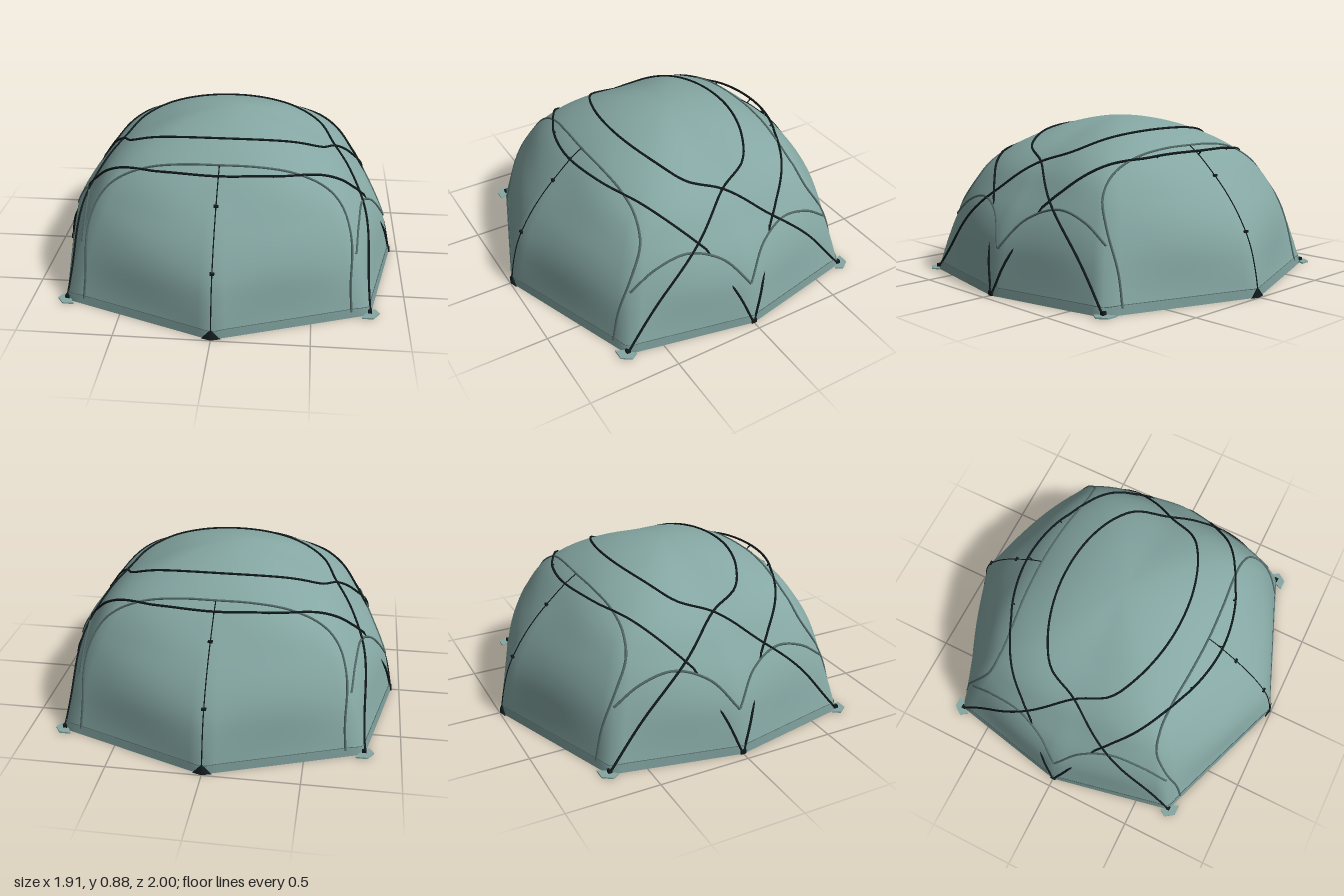
import * as THREE from 'three';

const mat = (name, color, side = THREE.FrontSide) => {
  const m = new THREE.MeshStandardMaterial({ color, side });
  m.name = name;
  return m;
};

// Dome radii at equal steps of elevation, from the ground to the apex
const H = 0.885;
const SIDE = [0.95, 0.925, 0.89, 0.825, 0.735, 0.645, 0.53, 0.39, 0.255, 0.12, 0];
const FRONT = [0.99, 0.965, 0.925, 0.855, 0.765, 0.66, 0.555, 0.43, 0.29, 0.145, 0];
const CORNER = [1.064, 1.02, 0.97, 0.91, 0.84, 0.745, 0.615, 0.46, 0.3, 0.14, 0];
const CORNER_ANGLE = Math.atan2(0.69, 0.81);

// Smooth interpolation of a table, u in 0..1
function sample(table, u) {
  const f = u * (table.length - 1);
  const i = Math.min(Math.floor(f), table.length - 2);
  const t = f - i;
  const b = table[i], c = table[i + 1];
  const a = table[i - 1] ?? 2 * b - c, d = table[i + 2] ?? -b;
  return b + 0.5 * t * (c - a + t * (2 * a - 5 * b + 4 * c - d + t * (3 * (b - c) + d - a)));
}

// Radius of the fabric: straight octagon at the ground, rounder above
function radius(angle, y) {
  const a = Math.atan2(Math.abs(Math.sin(angle)), Math.abs(Math.cos(angle)));
  const u = Math.asin(THREE.MathUtils.clamp(y / H, 0, 1)) / (Math.PI / 2);
  if (u > 0.999) return 0;
  const low = a < CORNER_ANGLE;
  const a0 = low ? 0 : CORNER_ANGLE, a1 = low ? CORNER_ANGLE : Math.PI / 2;
  const r0 = sample(low ? SIDE : CORNER, u), r1 = sample(low ? CORNER : FRONT, u);
  const straight = r0 * r1 * Math.sin(a1 - a0) / (r1 * Math.sin(a1 - a) + r0 * Math.sin(a - a0));
  const round = r0 + (r1 - r0) * THREE.MathUtils.smoothstep(a, a0, a1);
  const w = 0.55 * THREE.MathUtils.smoothstep(y, 0.05, 0.45) + 0.45 * THREE.MathUtils.smoothstep(y, 0.5, 0.75);
  return straight + (round - straight) * w;
}

const onDome = (angle, y, off = 0) => {
  const r = radius(angle, y) + off;
  return new THREE.Vector3(r * Math.cos(angle), y, r * Math.sin(angle));
};

// Moves a point along its ray from the ground centre onto the fabric
function lay(p, lift, keepOutside) {
  const angle = Math.atan2(p.z, p.x), flat = Math.hypot(p.x, p.z);
  let lo = 0.5, hi = 1.6;
  for (let i = 0; i < 30; i++) {
    const s = (lo + hi) / 2;
    if (p.y * s < H && flat * s < radius(angle, p.y * s)) lo = s;
    else hi = s;
  }
  const scale = lo + lift / p.length();
  return p.clone().multiplyScalar(keepOutside ? Math.max(1, scale) : scale);
}

// Angles round the tent, with samples exactly on its eight corners
const ANGLES = [];
const CORNERS = [0, CORNER_ANGLE, Math.PI / 2, Math.PI - CORNER_ANGLE, Math.PI,
  Math.PI + CORNER_ANGLE, 1.5 * Math.PI, 2 * Math.PI - CORNER_ANGLE, 2 * Math.PI];
for (let k = 0; k < 8; k++)
  for (let j = 0; j < 12; j++) ANGLES.push(THREE.MathUtils.lerp(CORNERS[k], CORNERS[k + 1], j / 12));

// Skin through level loops of the dome
function skin(levels, off) {
  const pos = [], idx = [], n = ANGLES.length;
  for (const y of levels) for (const a of ANGLES) pos.push(...onDome(a, y, off).toArray());
  for (let i = 0; i < levels.length - 1; i++)
    for (let j = 0; j < n; j++) {
      const a = i * n + j, b = i * n + (j + 1) % n;
      idx.push(a, a + n, b + n, a, b + n, b);
    }
  const g = new THREE.BufferGeometry();
  g.setAttribute('position', new THREE.Float32BufferAttribute(pos, 3));
  g.setIndex(idx);
  g.computeVertexNormals();
  return g;
}

const curveOf = pts => new THREE.CatmullRomCurve3(pts, false, 'centripetal');

// Tube through points; with lift set, it is laid on the fabric
function cord(points, r, lift = null, keepOutside = false) {
  let curve = curveOf(points.map(p => new THREE.Vector3(...p)));
  if (lift !== null) curve = curveOf(curve.getSpacedPoints(60).map(p => lay(p, lift, keepOutside)));
  return new THREE.TubeGeometry(curve, 90, r, 6, false);
}

// Half path (ending at x = 0) completed by its mirror image
const both = half => [...half, ...half.slice(0, -1).reverse().map(([x, y, z]) => [-x, y, z])];
const flip = (pts, sx, sz) => pts.map(([x, y, z]) => [x * sx, y, z * sz]);

export function createModel() {
  const tent = new THREE.Group();
  tent.name = 'domeTent';
  const fabric = mat('fabric', 0x85a7a3, THREE.DoubleSide);
  const hem = mat('hem fabric', 0x789895, THREE.DoubleSide);
  const seam = mat('seam', 0x526a68);
  const black = mat('pole black', 0x111a1b, THREE.DoubleSide);
  const add = (name, geometry, material) => {
    const m = new THREE.Mesh(geometry, material);
    m.name = name;
    tent.add(m);
    return m;
  };

  // Fabric shell and the hem round its foot
  const levels = Array.from({ length: 45 }, (_, i) => H * Math.sin(i / 44 * Math.PI / 2));
  add('canopy', skin(levels, 0), fabric);
  add('hemBand', skin([0, 0.045], 0.003), hem);
  const hemLine = new THREE.CatmullRomCurve3(ANGLES.map(a => onDome(a, 0.045, 0.002)), true);
  add('hemStitch', new THREE.TubeGeometry(hemLine, 192, 0.002, 4, true), seam);

  const crossPole = both([[0.81, 0.008, 0.69], [0.785, 0.25, 0.49], [0.715, 0.49, 0.21], [0.6, 0.66, 0],
    [0.52, 0.72, -0.172], [0.4, 0.775, -0.255], [0.2, 0.82, -0.325], [0, 0.83, -0.345]]);
  const doorPole = both([[0.77, 0.46, 0.2], [0.71, 0.54, 0.275], [0.61, 0.61, 0.355],
    [0.5, 0.665, 0.43], [0.28, 0.715, 0.55], [0, 0.725, 0.6]]);
  const poleEnd = [[0.77, 0.46, 0.2], [0.83, 0.33, 0.14], [0.908, 0.18, 0.07], [0.95, 0.008, 0.004]];
  const doorSeam = both([[0.71, 0.03, 0.72], [0.71, 0.2, 0.69], [0.7, 0.4, 0.6], [0.65, 0.54, 0.52],
    [0.55, 0.64, 0.49], [0.4, 0.7, 0.485], [0.2, 0.735, 0.5], [0, 0.745, 0.51]]);
  const sideSeam = [[0.72, 0.32, 0.62], [0.735, 0.42, 0.48], [0.75, 0.46, 0.3], [0.82, 0.4, 0.13], [0.905, 0.24, 0]];
  const zip = [[0, 0.008, 0.99], [0, 0.25, 0.93], [0, 0.5, 0.78], [0, 0.745, 0.51]];

  // Corner tab outline, seen from above
  const tab = new THREE.Shape([[0.86, 0.69], [0.825, 0.74], [0.765, 0.74], [0.785, 0.70], [0.81, 0.68], [0.835, 0.65]]
    .map(p => new THREE.Vector2(...p)));
  const tabGeo = new THREE.ExtrudeGeometry(tab, { depth: 0.008, bevelEnabled: false });
  tabGeo.rotateX(Math.PI / 2).translate(0, 0.012, 0);

  // Triangular anchor patch at the foot of each zip
  const patch = new THREE.ConeGeometry(0.05, 0.055, 4, 1).scale(1, 1, 0.3);

  for (const s of [1, -1]) {
    const end = s > 0 ? 'front' : 'back';
    add(end + 'CrossPole', cord(flip(crossPole, 1, s), 0.0065, 0.004), black);
    add(end + 'DoorPole', cord(flip(doorPole, 1, s), 0.0065, 0.005, true), black);
    add(end + 'DoorSeam', cord(flip(doorSeam, 1, s), 0.0065, 0.001), seam);
    add(end + 'Zip', cord(flip(zip, 1, s), 0.003, 0.002), black);
    add(end + 'Anchor', patch, black).position.set(0, 0.0275, s * 0.983);

    // Zip pulls
    for (const y of [0.33, 0.6]) {
      const pull = add(end + 'ZipPull', new THREE.BoxGeometry(0.024, 0.012, 0.014), black);
      pull.position.copy(onDome(s * Math.PI / 2, y, 0.004));
    }
    // Clips tying the door pole to the fabric
    for (const [x, y, z] of [[-0.28, 0.715, 0.55], [0, 0.725, 0.6], [0.28, 0.715, 0.55]])
      add(end + 'PoleClip', cord([[x, y, s * z], [x, y - 0.03, s * (z - 0.03)]], 0.004), black);

    for (const sx of [1, -1]) {
      const side = sx > 0 ? 'Left' : 'Right';
      add(end + side + 'SideSeam', cord(flip(sideSeam, sx, s), 0.0065, 0.001), seam);
      // Lower pole end, running inside the fabric before it comes out at the foot
      add(end + side + 'PoleEnd', cord(flip(poleEnd, sx, s), 0.0065), black);
      const corner = add(end + side + 'CornerTab', tabGeo, fabric);
      corner.scale.set(sx, 1, s);
      const foot = add(end + side + 'PoleFoot', new THREE.BoxGeometry(0.022, 0.03, 0.022), black);
      foot.position.set(sx * 0.808, 0.015, s * 0.688);
    }
  }
  // Pole feet at the two sides
  for (const sx of [1, -1])
    add(sx > 0 ? 'leftSideFoot' : 'rightSideFoot', new THREE.BoxGeometry(0.02, 0.025, 0.03), black)
      .position.set(sx * 0.947, 0.0125, 0);

  return tent;
}
